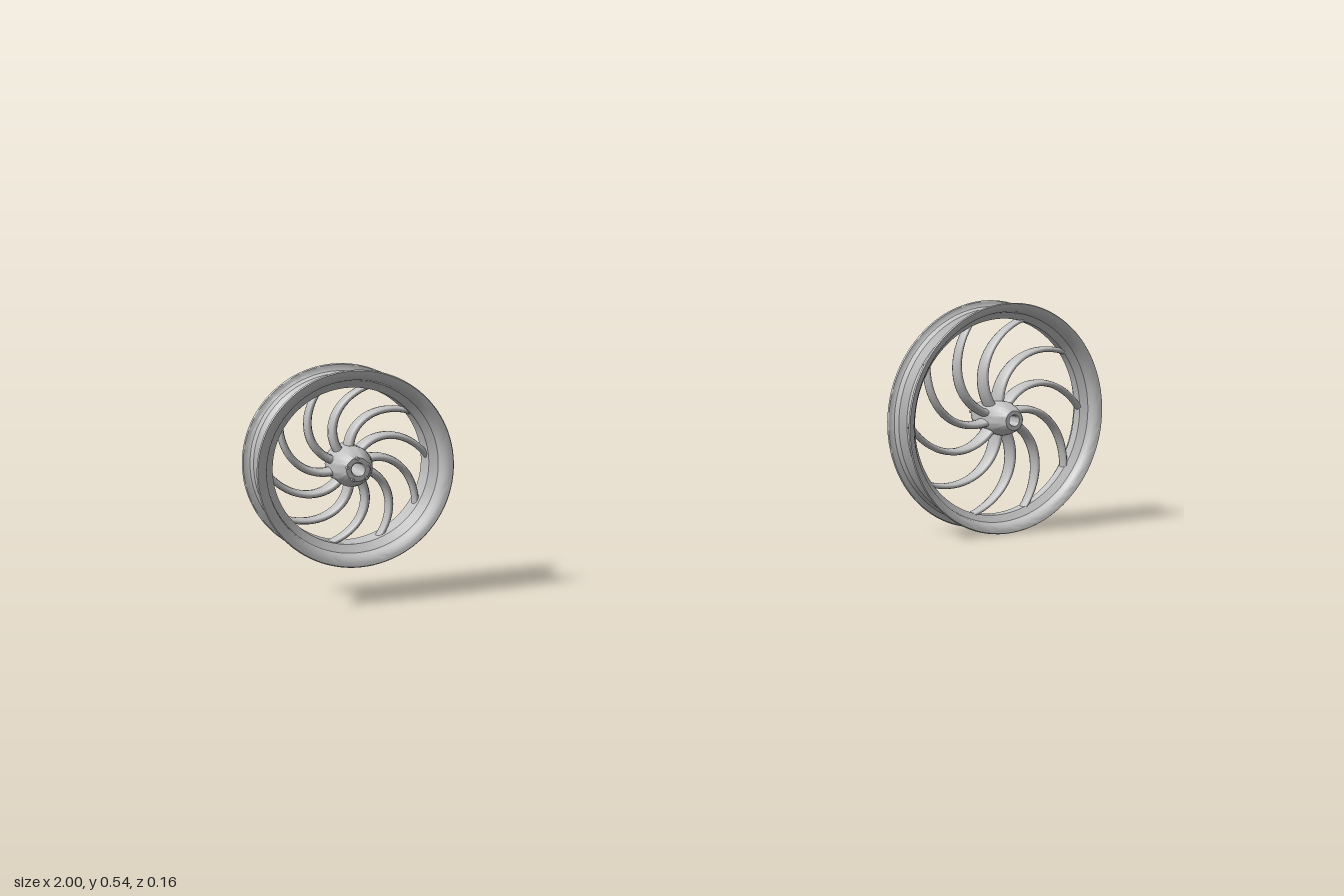
import * as THREE from 'three';
import { toCreasedNormals } from 'three/addons/utils/BufferGeometryUtils.js';

const metal = new THREE.MeshStandardMaterial({ color: 0xc0c0c0 });
metal.name = 'cast alloy';

// closed [radius, z] profile (outer side towards +z first) spun around the z axis
function spin(profile, segments, name) {
  const pts = [...profile, profile[0]].map(([r, z]) => new THREE.Vector2(r, z));
  const geo = new THREE.LatheGeometry(pts, segments).rotateX(Math.PI / 2);
  const mesh = new THREE.Mesh(toCreasedNormals(geo, 0.6), metal);
  mesh.name = name;
  return mesh;
}

// rim with raised lips, bead seats and a dropped centre
function makeRim(R, half, drop, dropHalf, slope) {
  const seat = R - 0.014;
  const side = [
    [drop, dropHalf], [seat - 0.003, dropHalf + slope], [seat, half - 0.011],
    [R - 0.009, half - 0.007], [R - 0.002, half - 0.006], [R, half - 0.003], [R - 0.002, half],
    [R - 0.008, half - 0.001], [R - 0.015, half - 0.004], [seat - 0.007, half - 0.012],
    [seat - 0.01, dropHalf + slope], [drop - 0.008, dropHalf],
  ];
  const back = side.map(([r, z]) => [r, -z]).reverse();
  return spin([...side, ...back], 96, 'rim');
}

// one curved, tapering spoke with an oval section
function spokeGeometry(r0, r1, sweep, w0, w1, h0, h1) {
  const steps = 20, sides = 12, pos = [], index = [];
  const point = (t) => {
    const r = r0 + (r1 - r0) * t, a = -sweep * Math.pow(Math.max(t, 0), 1.4);
    return new THREE.Vector3(r * Math.cos(a), r * Math.sin(a), 0);
  };
  for (let i = 0; i <= steps; i++) {
    const t = i / steps, p = point(t);
    const d = point(t + 0.01).sub(point(t - 0.01)).normalize();
    const w = w0 + (w1 - w0) * t, h = h0 + (h1 - h0) * t;
    for (let j = 0; j < sides; j++) {
      const a = (j / sides) * Math.PI * 2, c = Math.cos(a) * w;
      pos.push(p.x - d.y * c, p.y + d.x * c, Math.sin(a) * h);
      if (i === steps) continue;
      const k = i * sides + j, n = i * sides + ((j + 1) % sides);
      index.push(k, n, n + sides, k, n + sides, k + sides);
    }
  }
  const geo = new THREE.BufferGeometry();
  geo.setAttribute('position', new THREE.Float32BufferAttribute(pos, 3));
  geo.setIndex(index);
  geo.computeVertexNormals();
  return geo;
}

function makeWheel(name, o) {
  const wheel = new THREE.Group();
  wheel.name = name;
  wheel.add(makeRim(o.R, o.half, o.drop, o.dropHalf, o.slope));

  // tapered hub with a bore through it
  const hub = [[0.04, 0.03], [0.035, 0.048], [0.026, 0.068], [0.023, 0.071],
    [0.014, 0.071], [0.012, 0.068]];
  wheel.add(spin([...hub, ...hub.map(([r, z]) => [r, -z]).reverse()], 40, 'hub'));

  // ten swirling spokes
  const geo = spokeGeometry(0.032, o.drop - 0.002, o.sweep, o.w[0], o.w[1], o.h[0], o.h[1]);
  for (let i = 0; i < 10; i++) {
    const spoke = new THREE.Mesh(geo, metal);
    spoke.name = 'spoke';
    spoke.rotation.z = (i / 10) * Math.PI * 2 + 0.3;
    wheel.add(spoke);
  }

  // ring of five bolts on one face of the hub
  const boltGeo = new THREE.CylinderGeometry(0.003, 0.003, 0.018, 10).rotateX(Math.PI / 2);
  for (let i = 0; i < 5; i++) {
    const a = (i / 5) * Math.PI * 2 + 0.4;
    const bolt = new THREE.Mesh(boltGeo, metal);
    bolt.name = 'hubBolt';
    bolt.position.set(0.022 * Math.cos(a), 0.022 * Math.sin(a), o.boltSide * 0.07);
    wheel.add(bolt);
  }
  wheel.position.set(o.x, o.y, -0.001);
  return wheel;
}

export function createModel() {
  const model = new THREE.Group();
  model.name = 'wheelPair';
  model.add(
    makeWheel('largeWheel', {
      x: 0.73, y: 0.271, R: 0.27, half: 0.049, drop: 0.239, dropHalf: 0.011, slope: 0.012,
      sweep: 0.9, w: [0.01, 0.006], h: [0.024, 0.013], boltSide: -1,
    }),
    makeWheel('smallWheel', {
      x: -0.806, y: 0.268, R: 0.194, half: 0.07, drop: 0.163, dropHalf: 0.027, slope: 0.014,
      sweep: 0.9, w: [0.009, 0.006], h: [0.026, 0.016], boltSide: 1,
    }),
  );
  return model;
}
